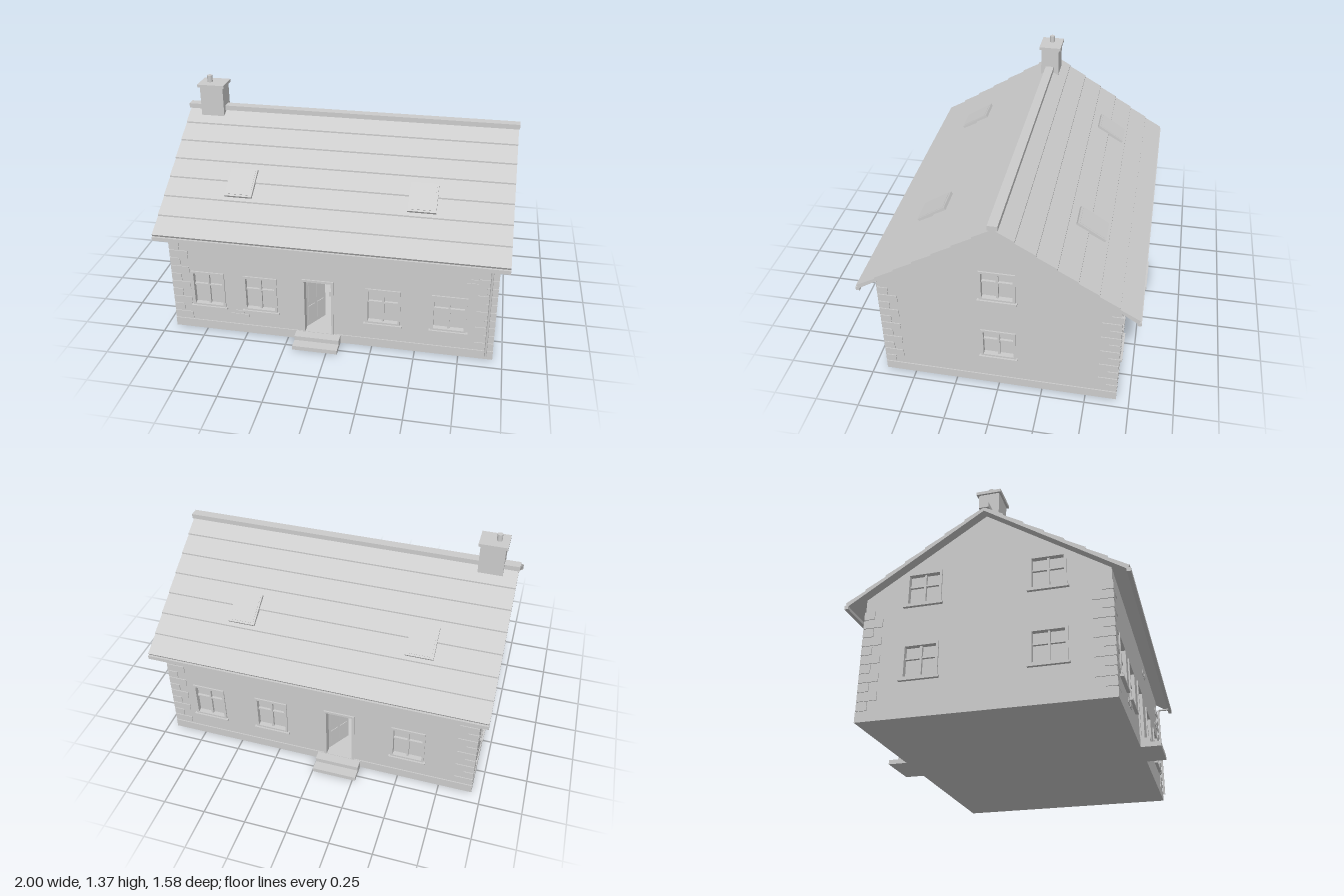
import * as THREE from 'three';

const plaster = new THREE.MeshStandardMaterial({ color: 0xcccccc });
plaster.name = 'pale grey';

function add(parent, name, geometry) {
  const mesh = new THREE.Mesh(geometry, plaster);
  mesh.name = name;
  parent.add(mesh);
  return mesh;
}

// Box given by its lower and upper limits on each axis
function box(parent, name, x0, x1, y0, y1, z0, z1) {
  const mesh = add(parent, name, new THREE.BoxGeometry(x1 - x0, y1 - y0, z1 - z0));
  mesh.position.set((x0 + x1) / 2, (y0 + y1) / 2, (z0 + z1) / 2);
  return mesh;
}

function group(parent, name) {
  const g = new THREE.Group();
  g.name = name;
  parent.add(g);
  return g;
}

const shapeOf = (pts) => new THREE.Shape(pts.map(([x, y]) => new THREE.Vector2(x, y)));

const WALL = 0.05;

// Wall in its own plane: outside face at z = 0, facing +z
function wall(parent, outline, openings) {
  const shape = shapeOf(outline);
  for (const [x, y0, y1, w] of openings) {
    const a = x - w / 2, b = x + w / 2;
    shape.holes.push(new THREE.Path([[a, y0], [a, y1], [b, y1], [b, y0]].map((p) => new THREE.Vector2(...p))));
  }
  const geo = new THREE.ExtrudeGeometry(shape, { depth: WALL, bevelEnabled: false });
  geo.translate(0, 0, -WALL);
  add(parent, 'wall', geo);
}

// Casement window with raised surround, recessed pane, glazing bars and sill
function windowUnit(parent, [x, y0, y1, w]) {
  const g = group(parent, 'window');
  g.position.x = x;
  const h = w / 2, t = 0.014;
  for (const s of [-1, 1]) {
    const e = s * (h - t / 2);
    box(g, 'windowJamb', e - t / 2, e + t / 2, y0, y1, -0.03, 0.008);
  }
  box(g, 'windowHead', -h + t, h - t, y1 - t, y1, -0.03, 0.008);
  box(g, 'windowBottomRail', -h + t, h - t, y0, y0 + t, -0.03, 0.008);
  box(g, 'windowPane', -h + t, h - t, y0 + t, y1 - t, -0.028, -0.022);
  box(g, 'windowMullion', -0.006, 0.006, y0 + t, y1 - t, -0.022, -0.006);
  const ym = y0 + (y1 - y0) * 0.6;
  for (const s of [-1, 1]) {
    const c = s * (h - t + 0.006) / 2, half = (h - t - 0.006) / 2;
    box(g, 'windowTransom', c - half, c + half, ym - 0.005, ym + 0.005, -0.022, -0.008);
  }
  box(g, 'windowSill', -h - 0.01, h + 0.01, y0 - 0.01, y0 + 0.003, -0.01, 0.018);
}

// Door frame, leaf standing open inwards, and two steps
function doorUnit(parent, [x, y0, y1, w]) {
  const g = group(parent, 'door');
  g.position.x = x;
  const h = w / 2, t = 0.014;
  for (const s of [-1, 1]) {
    const e = s * (h - t / 2);
    box(g, 'doorJamb', e - t / 2, e + t / 2, y0, y1, -WALL, 0.008);
  }
  box(g, 'doorHead', -h + t, h - t, y1 - t, y1, -WALL, 0.008);
  const hinge = group(g, 'openDoorLeaf');
  hinge.position.set(-h + t, 0, -WALL + 0.01);
  hinge.rotation.y = 1.0;
  const lw = w - 2 * t, top = y1 - t;
  box(hinge, 'doorLeaf', 0, lw, y0 + 0.004, top - 0.003, -0.008, 0);
  for (const [a, b] of [[0.015, 0.07], [0.085, lw - 0.015]]) {
    box(hinge, 'doorPanel', a, b, y0 + 0.03, y0 + 0.14, 0, 0.004);
    box(hinge, 'doorPanel', a, b, y0 + 0.17, top - 0.03, 0, 0.004);
  }
  box(g, 'lowerStep', -0.132, 0.132, 0, 0.026, 0, 0.118);
  box(g, 'upperStep', -0.132, 0.132, 0.026, 0.053, 0, 0.06);
}

// One side of the house with its openings
function side(parent, name, position, angle, outline, windows, doors) {
  const g = group(parent, name);
  g.position.set(...position);
  g.rotation.y = angle;
  wall(g, outline, [...windows, ...doors]);
  windows.forEach((o) => windowUnit(g, o));
  doors.forEach((o) => doorUnit(g, o));
  return g;
}

// Roof outer surface height at distance z from the ridge
const SLOPE = 0.645;
const roofY = (z) => 1.165 - SLOPE * z;

function buildRoof(house) {
  const roof = group(house, 'roof');
  // Stepped slate courses on both slopes, as one cross-section
  const half = [];
  const n = 7, eave = 0.768;
  for (let i = 0; i < n; i++) {
    const a = (i * eave) / n, b = ((i + 1) * eave) / n;
    half.push([a, roofY(a) - 0.003], [b, roofY(b) + 0.006]);
  }
  half.push([0.755, roofY(0.755) - 0.024]);
  const left = half.slice(1).reverse().map(([z, y]) => [-z, y]);
  const geo = new THREE.ExtrudeGeometry(shapeOf([...left, ...half, [0, 1.14]]), { depth: 1.99, bevelEnabled: false });
  geo.translate(0, 0, -0.995);
  geo.rotateY(Math.PI / 2);
  add(roof, 'slateRoof', geo);
  box(roof, 'ridgeCap', -1, 1, 1.158, 1.187, -0.027, 0.027);

  // Skylights and gutters on each slope
  for (const s of [-1, 1]) {
    for (const x of [-0.555, 0.495]) {
      const g = group(roof, 'skylight');
      g.position.set(x, roofY(0.45) + 0.007, s * 0.45);
      g.rotation.x = s * Math.atan(SLOPE);
      box(g, 'skylightFrame', -0.08, 0.08, -0.012, 0.012, -0.095, 0.095);
      box(g, 'skylightGlass', -0.07, 0.07, 0.012, 0.014, -0.083, 0.083);
    }
    const z = s * 0.762;
    box(roof, 'gutter', -0.995, 0.995, 0.64, 0.662, z - 0.011, z + 0.011);
  }

  // Chimney
  const chimney = group(roof, 'chimney');
  box(chimney, 'chimneyStack', -0.912, -0.77, 1.1, 1.312, -0.058, 0.058);
  box(chimney, 'chimneyCap', -0.923, -0.759, 1.308, 1.326, -0.07, 0.07);
  const pot = add(chimney, 'chimneyPot', new THREE.CylinderGeometry(0.016, 0.016, 0.044, 16));
  pot.position.set(-0.865, 1.345, 0);
}

export function createModel() {
  const house = new THREE.Group();
  house.name = 'cottage';
  const X = 0.94, Z = 0.67;

  box(house, 'plinth', -X - 0.006, X + 0.006, 0, 0.055, -Z - 0.006, Z + 0.006);

  // Walls: openings are [centre, bottom, top, width]
  const long = [[-X, 0.05], [X, 0.05], [X, 0.72], [-X, 0.72]];
  const g = Z - 0.002;
  const gable = [[-g, 0.05], [g, 0.05], [g, 0.715], [0, 1.146], [-g, 0.715]];
  const low = (x) => [x, 0.163, 0.396, 0.2];
  const gableWindows = (x) => [[x, 0.212, 0.41, 0.2], [x, 0.638, 0.836, 0.2]];
  const door = (x) => [x, 0.0531, 0.415, 0.185];
  side(house, 'frontSide', [0, 0, Z], 0, long, [-0.725, -0.41, 0.31, 0.685].map(low), [door(-0.068)]);
  side(house, 'backSide', [0, 0, -Z], Math.PI, long, [-0.69, -0.29, 0.55].map(low), [door(0.135)]);
  side(house, 'leftSide', [X, 0, 0], Math.PI / 2, gable, gableWindows(0), []);
  side(house, 'rightSide', [-X, 0, 0], -Math.PI / 2, gable, [...gableWindows(-0.34), ...gableWindows(0.34)], []);

  // Alternating corner stones
  const pitch = 0.0525;
  for (const sx of [-1, 1]) for (const sz of [-1, 1]) {
    for (let i = 0; i < 11; i++) {
      const lx = i % 2 ? 0.06 : 0.11, lz = i % 2 ? 0.11 : 0.06, y = 0.058 + i * pitch;
      const q = add(house, 'cornerStone', new THREE.BoxGeometry(lx, pitch - 0.006, lz));
      q.position.set(sx * (X + 0.005 - lx / 2), y + pitch / 2, sz * (Z + 0.005 - lz / 2));
    }
  }

  // A few exposed bricks on the front
  for (const [x, y] of [[-0.54, 0.11], [0.82, 0.48], [0.22, 0.6]]) {
    for (const [dx, dy] of [[-0.03, 0], [0.03, 0], [0, 0.024], [0.06, 0.024]]) {
      box(house, 'exposedBrick', x + dx - 0.026, x + dx + 0.026, y + dy, y + dy + 0.018, Z - 0.002, Z + 0.004);
    }
  }

  // Inside: upper floor and staircase
  box(house, 'upperFloor', -X + WALL, X - WALL, 0.5, 0.52, -Z + WALL, Z - WALL);
  for (let i = 0; i < 12; i++) {
    const z = 0.3 - i * 0.04;
    box(house, 'stair', -0.08, 0.1, 0.055, 0.09 + i * 0.035, z - 0.04, z);
  }

  buildRoof(house);

  // Drainpipe from the front gutter to the ground
  const path = new THREE.CurvePath();
  const pts = [[0.905, 0.645, 0.758], [0.905, 0.635, 0.75], [0.905, 0.635, 0.687], [0.905, 0.03, 0.687]]
    .map((p) => new THREE.Vector3(...p));
  for (let i = 0; i < 3; i++) path.add(new THREE.LineCurve3(pts[i], pts[i + 1]));
  add(house, 'drainpipe', new THREE.TubeGeometry(path, 60, 0.007, 8));

  return house;
}
